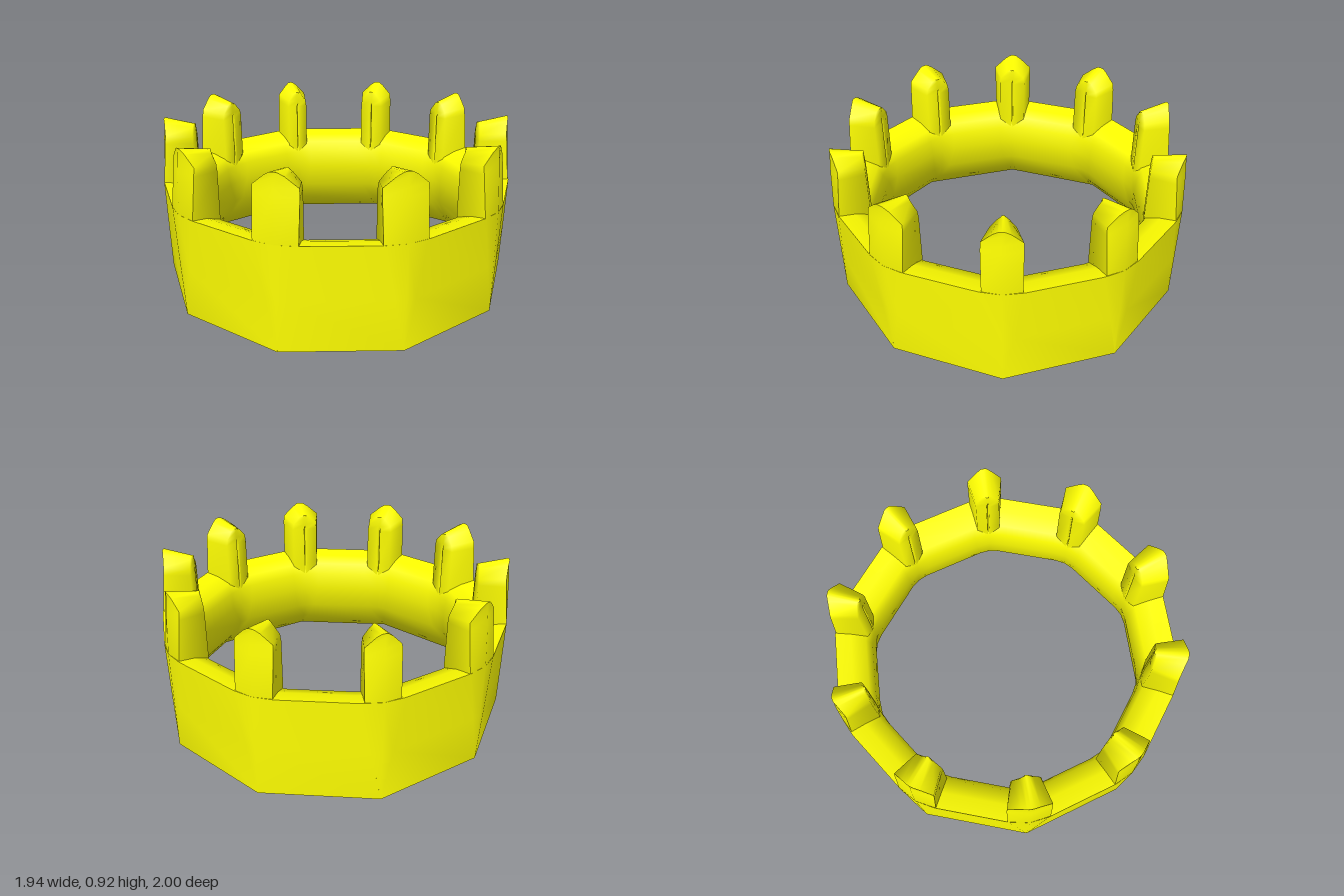
import * as THREE from 'three';
import { toCreasedNormals } from 'three/addons/utils/BufferGeometryUtils.js';

const SIDES = 10;
const STEP = (Math.PI * 2) / SIDES;
const material = new THREE.MeshStandardMaterial({ color: 0xffff00 });

// Skins a list of closed cross-sections, each with the same number of points.
function loft(sections, wrap, crease) {
  const n = sections[0].length;
  const index = [];
  const last = wrap ? sections.length : sections.length - 1;
  for (let j = 0; j < last; j++) {
    const k = (j + 1) % sections.length;
    for (let i = 0; i < n; i++) {
      const m = (i + 1) % n;
      const a = j * n + i, b = j * n + m, c = k * n + m, d = k * n + i;
      index.push(a, b, c, a, c, d);
    }
  }
  const geometry = new THREE.BufferGeometry();
  geometry.setAttribute('position', new THREE.Float32BufferAttribute(sections.flat(2), 3));
  geometry.setIndex(index);
  return toCreasedNormals(geometry, crease);
}

// Radius at sideways offset t from a corner, on a flat side with the given apothem.
const onSide = (apothem, t) =>
  (apothem - Math.abs(t) * Math.sin(STEP / 2)) / Math.cos(STEP / 2);

// Ten-sided band: corners are sharp at the foot and widen into facets at the rim.
// The rim rolls over into a bulging inner wall that thins to an edge at the foot.
function bandGeometry() {
  // apothem, height, half width of the corner facet, radius of the facet centre
  const profile = [
    [0.968, 0.575, 0.11, 1.0],
    [0.96, 0.28, 0.055, 1.0],
    [0.951, 0, 0, 1.0],
    [0.945, 0, 0, 0.994],
    [0.86, 0.1, 0.03, 0.9],
    [0.79, 0.22, 0.06, 0.82],
    [0.768, 0.36, 0.08, 0.797],
    [0.773, 0.47, 0.09, 0.8],
    [0.8, 0.53, 0.095, 0.825],
    [0.88, 0.56, 0.1, 0.91],
  ];
  const columns = [];
  for (let k = 0; k < SIDES; k++) {
    const sin = Math.sin(k * STEP), cos = Math.cos(k * STEP);
    for (const side of [-1, 0, 1]) {
      columns.push(profile.map(([apothem, y, w, centre]) => {
        const t = side * w;
        const r = side ? onSide(apothem, t) : centre;
        return [r * sin + t * cos, y, r * cos - t * sin];
      }));
    }
  }
  return loft(columns, true, 1.2);
}

// Upright post with a radial ridge on top, tapering inward to a grooved inner face.
function postGeometry() {
  // outer half width, inner half width, outer y, inner y,
  // outer edge radius, outer centre radius, inner radius, groove depth
  const rows = [
    [0.11, 0.075, 0.45, 0.43, 0.965, 0.98, 0.802, 0],
    [0.115, 0.08, 0.57, 0.55, 0.98, 1.0, 0.797, 0.02],
    [0.117, 0.08, 0.8, 0.79, 0.955, 0.985, 0.797, 0.02],
    [0.115, 0.074, 0.845, 0.825, 0.95, 0.98, 0.797, 0],
    [0.05, 0.035, 0.9, 0.87, 0.965, 0.975, 0.8, 0],
    [0.02, 0.014, 0.918, 0.884, 0.973, 0.974, 0.8, 0],
    [0, 0, 0.92, 0.886, 0.974, 0.974, 0.8, 0],
  ];
  const sections = rows.map(([w, wi, yo, yi, edge, centre, inner, groove]) => {
    const g = Math.min(0.008, wi);
    return [
      [-w, yo, edge], [0, yo, centre], [w, yo, edge],
      [wi, yi, inner + 0.012], [g, yi, inner], [0, yi, inner + groove],
      [-g, yi, inner], [-wi, yi, inner + 0.012],
    ];
  });
  return loft(sections, false, 1.4);
}

export function createModel() {
  const crown = new THREE.Group();
  crown.name = 'crown';

  const band = new THREE.Mesh(bandGeometry(), material);
  band.name = 'band';
  crown.add(band);

  // One post on every corner of the band; those at the back are slimmer
  const slimming = { 4: 0.86, 5: 0.86, 6: 0.86, 7: 0.78 };
  const geometry = postGeometry();
  for (let k = 0; k < SIDES; k++) {
    const post = new THREE.Mesh(geometry, material);
    post.name = `post${k + 1}`;
    post.rotation.y = k * STEP;
    post.scale.x = slimming[k] ?? 1;
    crown.add(post);
  }
  return crown;
}
